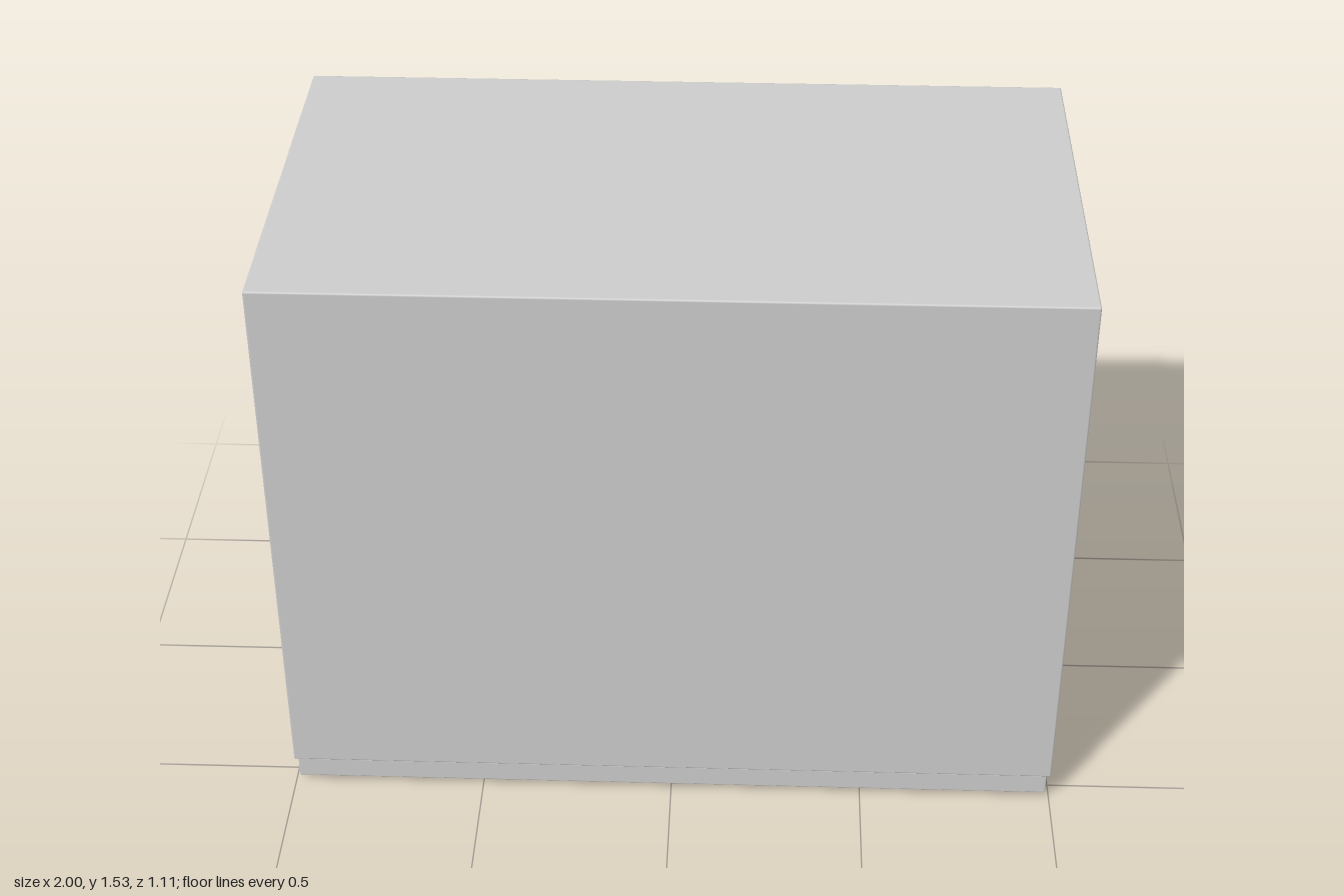
import * as THREE from 'three';
import { RoundedBoxGeometry } from 'three/addons/geometries/RoundedBoxGeometry.js';

const material = new THREE.MeshStandardMaterial({ color: 0xcccccc });

// Box given by its extents; a radius softens the edges
function block(name, [x0, x1], [y0, y1], [z0, z1], radius = 0) {
  const size = [x1 - x0, y1 - y0, z1 - z0];
  const geometry = radius
    ? new RoundedBoxGeometry(...size, 2, radius)
    : new THREE.BoxGeometry(...size);
  const mesh = new THREE.Mesh(geometry, material);
  mesh.name = name;
  mesh.position.set((x0 + x1) / 2, (y0 + y1) / 2, (z0 + z1) / 2);
  return mesh;
}

export function createModel() {
  const model = new THREE.Group();
  model.name = 'microwaveOven';

  // Oven lying on its face: cabinet above, fascia and door underneath
  model.add(
    block('cabinet', [-1, 1], [0.079, 1.53], [-0.556, 0.556], 0.005),
    block('fascia', [-0.99, 0.99], [0.018, 0.079], [-0.548, 0.55], 0.004),
    block('door', [-0.96, 0.495], [0.007, 0.018], [-0.445, 0.448]),
    block('doorWindow', [-0.8, 0.3], [0, 0.007], [-0.3, 0.2]),
    block('controlPanel', [0.6, 0.917], [0.008, 0.018], [-0.445, 0.448]),
  );

  // Keypad of small round buttons, three across and four down
  const keypad = new THREE.Group();
  keypad.name = 'keypad';
  const buttonGeometry = new THREE.CylinderGeometry(0.01, 0.01, 0.006, 16);
  for (let column = 0; column < 3; column++) {
    for (let row = 0; row < 4; row++) {
      const button = new THREE.Mesh(buttonGeometry, material);
      button.name = 'button';
      button.position.set(0.66 + column * 0.073, 0.006, -0.17 + row * 0.1);
      keypad.add(button);
    }
  }
  model.add(keypad);
  return model;
}
